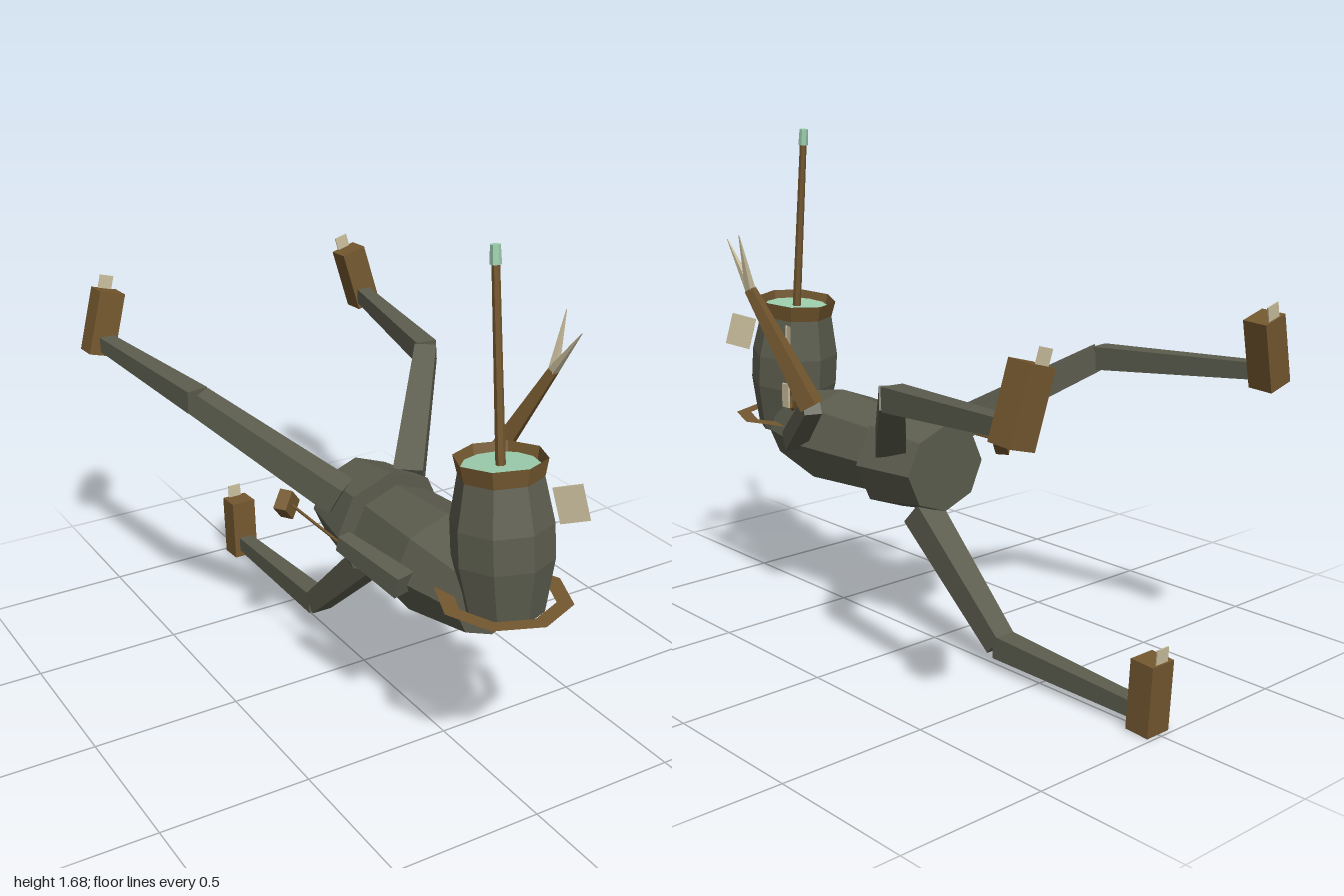
import * as THREE from 'three';

const flat = (name, color) => {
  const m = new THREE.MeshStandardMaterial({ color, flatShading: true, side: THREE.DoubleSide });
  m.name = name;
  return m;
};

export function createModel() {
  const olive = flat('olive grey', 0x5c5d4e);
  const brown = flat('brown', 0x74582f);
  const cream = flat('cream', 0xc9bd9c);
  const mint = flat('mint', 0x9dcfae);

  const model = new THREE.Group();
  const V = (x, y, z) => new THREE.Vector3(x, y, z);

  const add = (parent, name, geo, mat, pos = [0, 0, 0], rot = [0, 0, 0]) => {
    const m = new THREE.Mesh(geo, mat);
    m.name = name;
    m.position.set(...pos);
    m.rotation.set(...rot);
    parent.add(m);
    return m;
  };

  // tapered bar between two points; w0 and w1 are the end widths
  const bar = (parent, name, a, b, w0, w1, mat, sides = 4) => {
    const k = sides === 4 ? Math.SQRT1_2 : 0.5;
    const geo = new THREE.CylinderGeometry(w1 * k, w0 * k, a.distanceTo(b), sides, 1);
    if (sides === 4) geo.rotateY(Math.PI / 4);
    geo.rotateX(Math.PI / 2);
    const m = add(parent, name, geo, mat, a.clone().add(b).multiplyScalar(0.5).toArray());
    m.lookAt(b);
    return m;
  };

  // closed eight-sided turned shape from [radius, height] pairs
  const turned = (pts) => {
    const p = [[0, pts[0][1]], ...pts, [0, pts[pts.length - 1][1]]];
    return new THREE.LatheGeometry(p.map(([r, y]) => new THREE.Vector2(r, y)), 8);
  };

  // body segments, lying along z and slightly wider than tall
  const segment = (name, pts) =>
    add(model, name, turned(pts).rotateX(Math.PI / 2).scale(1.1, 1, 1), olive, [0, 0.613, 0]);
  segment('frontBody', [[0.152, 0.203], [0.172, 0.49], [0.124, 0.74]]);
  segment('rearBody', [[0.147, -0.055], [0.181, 0.168]]);

  // barrel head, leaning back
  const head = new THREE.Group();
  head.name = 'head';
  head.position.set(0, 0.603, 0.795);
  head.rotation.x = -0.1;
  model.add(head);
  add(head, 'barrel', turned([[0.12, 0], [0.154, 0.17], [0.154, 0.28], [0.126, 0.425]]), olive);
  add(head, 'collar', new THREE.CylinderGeometry(0.139, 0.125, 0.065, 8, 1, true), brown, [0, 0.443, 0]);
  add(head, 'lidDisc', new THREE.CircleGeometry(0.115, 12), mint, [0, 0.45, 0], [-Math.PI / 2, 0, 0]);
  add(head, 'antenna', new THREE.CylinderGeometry(0.012, 0.015, 0.59, 6), brown, [0, 0.735, 0]);
  add(head, 'antennaTip', new THREE.CylinderGeometry(0.015, 0.017, 0.055, 6), mint, [0, 1.055, 0]);

  // radial fins on one side of the head
  for (const [name, z, turn] of [['rearFin', 0.612, Math.PI / 4], ['frontFin', 0.9, -Math.PI / 4]]) {
    const fin = add(model, name, new THREE.BoxGeometry(0.088, 0.115, 0.004), cream, [0.143, 0.953, z]);
    fin.rotation.set(0, turn, 0.25);
  }

  // flat ring around the foot of the head
  add(model, 'neckRing', new THREE.RingGeometry(0.155, 0.207, 8), brown, [0, 0.645, 0.79], [-Math.PI / 2, 0, 0]);

  // small shackle with a tag on the shoulder
  add(model, 'shackle', new THREE.TorusGeometry(0.04, 0.008, 4, 8), brown, [0.135, 0.755, 0.605], [0, 1.2, 0]);
  add(model, 'shackleTag', new THREE.BoxGeometry(0.008, 0.085, 0.036), cream, [0.142, 0.76, 0.632]);

  // left arm with a pronged spear
  const elbow = V(0.27, 0.8, 0.31), wrist = V(0.372, 1.18, 0.5);
  bar(model, 'leftUpperArm', V(0.18, 0.62, 0.54), elbow, 0.07, 0.06, olive);
  bar(model, 'leftForearm', elbow, wrist, 0.062, 0.03, brown);
  bar(model, 'prong', wrist, V(0.376, 1.335, 0.62), 0.025, 0.002, cream);
  bar(model, 'prong', wrist, V(0.418, 1.365, 0.49), 0.025, 0.002, cream);

  // right arm with a thin rod and block
  bar(model, 'rightUpperArm', V(-0.19, 0.62, 0.55), V(-0.257, 0.675, 0.3), 0.07, 0.05, olive);
  bar(model, 'rod', V(-0.257, 0.66, 0.3), V(-0.257, 0.66, -0.04), 0.01, 0.01, brown, 6);
  add(model, 'rodBlock', new THREE.BoxGeometry(0.07, 0.075, 0.045), brown, [-0.268, 0.66, -0.045], [0, 0.6, 0.75]);

  // three legs, each with a block foot and a small plate on top
  const leg = (name, hip, knee, ankle, footPos, roll) => {
    const g = new THREE.Group();
    g.name = name;
    model.add(g);
    bar(g, 'thigh', hip, knee, 0.1, 0.076, olive);
    bar(g, 'shin', knee, ankle, 0.076, 0.052, olive);
    const foot = new THREE.Group();
    foot.name = 'foot';
    foot.position.set(...footPos);
    foot.rotation.set(-0.055, 0, roll);
    g.add(foot);
    add(foot, 'footBlock', new THREE.BoxGeometry(0.094, 0.226, 0.085), brown);
    add(foot, 'footPlate', new THREE.BoxGeometry(0.05, 0.05, 0.004), cream, [0, 0.135, -0.035]);
  };
  for (const s of [1, -1]) {
    leg(s > 0 ? 'leftLeg' : 'rightLeg', V(s * 0.13, 0.7, 0.07), V(s * 0.445, 0.968, -0.315),
      V(s * 0.53, 1.005, -0.9), [s * 0.52, 1.07, -0.925], s * 0.27);
  }
  leg('lowerLeg', V(0, 0.44, 0.065), V(0, 0.08, -0.325), V(0, 0.06, -0.92), [0, 0.118, -0.95], 0);

  return model;
}
